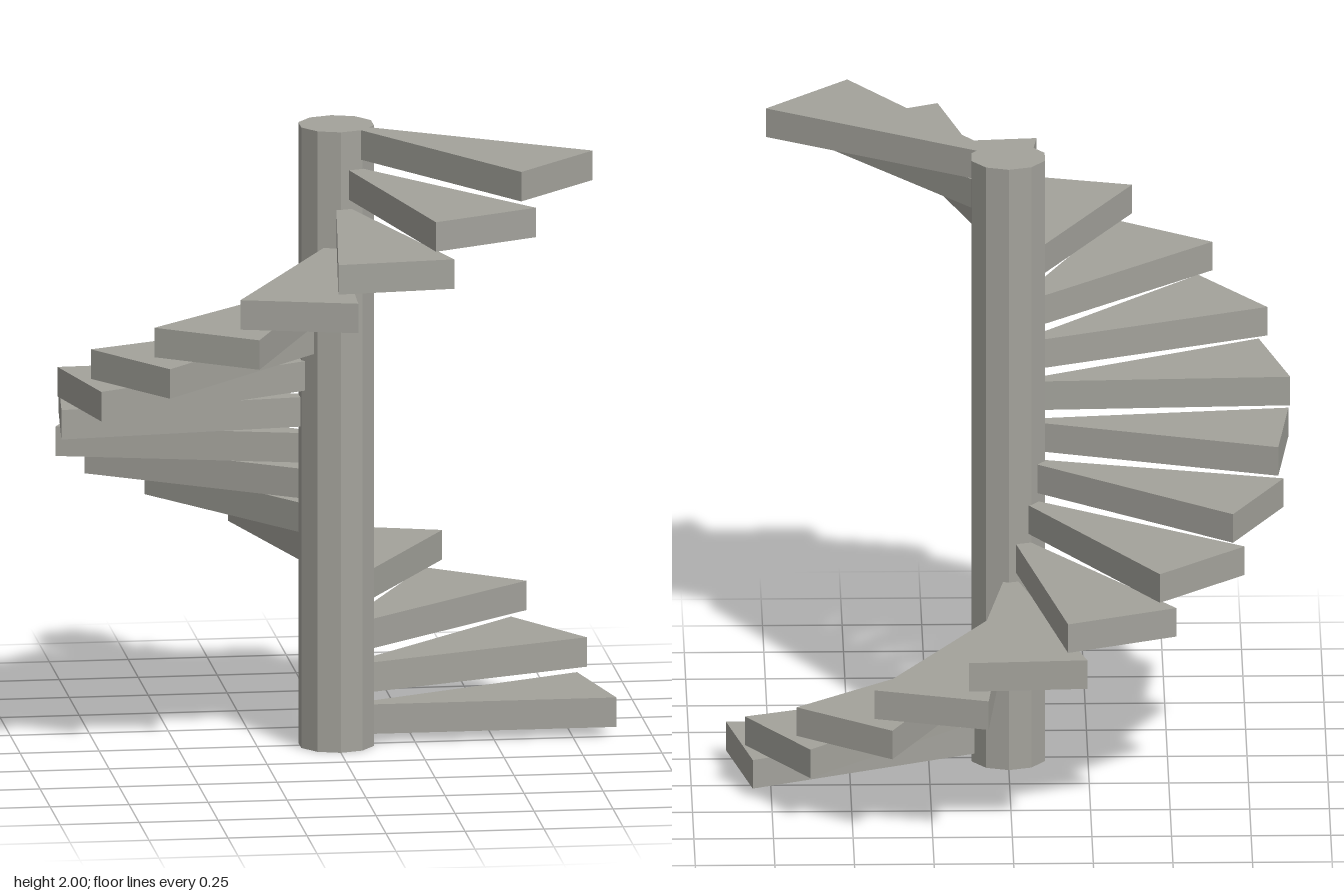
import * as THREE from 'three';

const STEPS = 16, RISE = 2 / STEPS, THICKNESS = 0.095;
const TURN = THREE.MathUtils.degToRad(324) / STEPS; // angle from step to step
const SPAN = TURN * 1.2; // treads overlap their neighbours
const INNER = 0.106, OUTER = 0.887, COLUMN_RADIUS = 0.121;

// Wedge-shaped tread, its leading edge along +x, its top at y = 0
function treadGeometry() {
  const c = Math.cos(SPAN), s = Math.sin(SPAN);
  const shape = new THREE.Shape([
    new THREE.Vector2(INNER, 0),
    new THREE.Vector2(OUTER, 0),
    new THREE.Vector2(OUTER * c, OUTER * s),
    new THREE.Vector2(INNER * c, INNER * s),
  ]);
  const geometry = new THREE.ExtrudeGeometry(shape, { depth: THICKNESS, bevelEnabled: false });
  return geometry.rotateX(-Math.PI / 2).translate(0, -THICKNESS, 0);
}

export function createModel() {
  const model = new THREE.Group();
  model.name = 'spiralStaircase';
  const stone = new THREE.MeshStandardMaterial({ color: 0xa3a29b });
  stone.name = 'stoneGrey';
  stone.flatShading = true;

  // Ten-sided central column
  const column = new THREE.Mesh(new THREE.CylinderGeometry(COLUMN_RADIUS, COLUMN_RADIUS, 2, 10), stone);
  column.name = 'column';
  column.position.y = 1;
  model.add(column);

  // Treads winding upwards
  const tread = treadGeometry();
  for (let i = 0; i < STEPS; i++) {
    const step = new THREE.Mesh(tread, stone);
    step.name = `step${i + 1}`;
    step.position.y = RISE * (i + 1);
    step.rotation.y = TURN * i;
    model.add(step);
  }
  return model;
}
